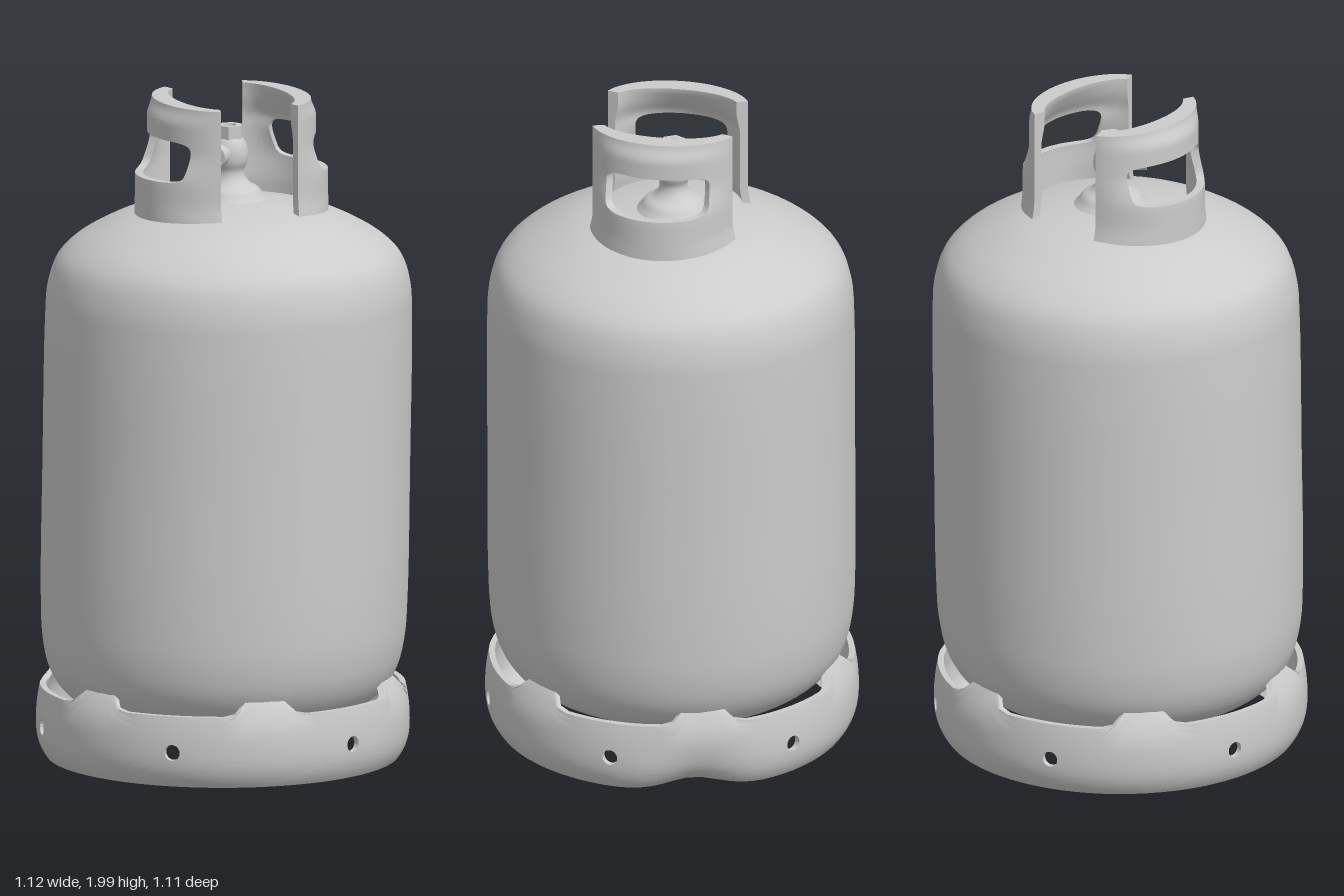
import * as THREE from 'three';
import { toCreasedNormals, mergeGeometries } from 'three/addons/utils/BufferGeometryUtils.js';

const material = new THREE.MeshStandardMaterial({ color: 0xcccccc });
const smooth = THREE.MathUtils.smoothstep;

function mesh(name, geometry) {
  const m = new THREE.Mesh(geometry, material);
  m.name = name;
  return m;
}

// Thick curved panel with one opening. hole(angle) gives the opening's edge in
// the -1..1 panel square; place(px, py, side) bends it (side 0 outer, 1 inner).
function holedPanel(hole, place, around = 64, steps = 10) {
  const pos = [], index = [], loop = 2 * (steps + 1);
  for (let u = 0; u < around; u++) {
    const a = (u / around) * Math.PI * 2, c = Math.cos(a), s = Math.sin(a);
    const k = 1 / Math.max(Math.abs(c), Math.abs(s));
    const [hx, hy] = hole(a);
    for (let j = 0; j < loop; j++) {
      const side = j > steps ? 1 : 0;
      const t = (side ? loop - 1 - j : j) / steps;
      pos.push(...place(hx + (c * k - hx) * t, hy + (s * k - hy) * t, side));
      const u2 = (u + 1) % around, j2 = (j + 1) % loop;
      const A = u * loop + j, B = u * loop + j2, C = u2 * loop + j2, D = u2 * loop + j;
      index.push(A, B, C, A, C, D);
    }
  }
  const g = new THREE.BufferGeometry();
  g.setAttribute('position', new THREE.Float32BufferAttribute(pos, 3));
  g.setIndex(index);
  return g;
}

// Smooth turned shape through a few profile points
function turned(points, segments = 72, samples = 80) {
  const curve = new THREE.CatmullRomCurve3(
    points.map(([r, y]) => new THREE.Vector3(r, y, 0)), false, 'centripetal');
  const profile = curve.getPoints(samples).map(p => new THREE.Vector2(Math.max(0, p.x), p.y));
  return new THREE.LatheGeometry(profile, segments);
}

function tank() {
  const g = turned([
    [0, 0.1], [0.2, 0.11], [0.38, 0.15], [0.47, 0.205], [0.515, 0.27], [0.538, 0.36],
    [0.546, 0.5], [0.547, 0.9], [0.546, 1.33], [0.54, 1.43], [0.515, 1.51], [0.47, 1.56],
    [0.4, 1.605], [0.3, 1.65], [0.2, 1.675], [0.1, 1.69], [0, 1.695]]);
  // slight lean of the worn shell
  const p = g.attributes.position;
  for (let i = 0; i < p.count; i++) p.setX(i, p.getX(i) + 0.017 * (p.getY(i) - 0.7));
  g.computeVertexNormals();
  return mesh('tank', g);
}

// Foot ring: six sections, each with a round hole and an open slot above it
function footRing() {
  const sections = [];
  for (let i = 0; i < 6; i++) {
    const middle = 21 + 60 * i;
    sections.push(holedPanel(
      a => [0.08 * Math.cos(a), 0.22 * Math.sin(a)],
      (px, py, side) => {
        const deg = middle + px * 30, th = THREE.MathUtils.degToRad(deg);
        const tab = smooth(Math.abs(px), 0.62, 0.82);
        const dent = Math.exp(-(((deg - 108) / 13) ** 2)) * (0.03 - 0.02 * py);
        const top = Math.max(0, (py - 0.3) / 0.7), low = Math.max(0, -py);
        const r = 0.556 - 0.012 * py * py - 0.02 * low ** 3
          - tab * 0.042 * top * top - dent - side * (0.018 + 0.02 * low ** 4);
        const y = 0.115 + 0.108 * py + tab * 0.05 * top + dent * 0.4 * low;
        return [r * Math.sin(th) - 0.008, y, r * Math.cos(th)];
      }));
  }
  return mesh('footRing', toCreasedNormals(mergeGeometries(sections), 0.8));
}

// Curved guard plate with a window and a thick rail leaning inward
function handle(name) {
  const end = 1.25;
  const g = holedPanel(
    a => {
      const c = Math.cos(a), s = Math.sin(a);
      const k = (c ** 6 + s ** 6) ** (-1 / 6);
      return [0.62 * c * k, 0.085 + 0.335 * s * k];
    },
    (px, py, side) => {
      const a = px * end;
      const lean = 0.045 * smooth(py, -0.3, 0.3) + 0.02 * smooth(py, 0.7, 1);
      const bow = (Math.cos(a) - Math.cos(end)) / (1 - Math.cos(end));
      const thick = 0.024 + 0.034 * smooth(py, 0.4, 0.8) * Math.cos(a);
      const flare = 1 + 0.05 * smooth(-py, 0.6, 1);
      const x = 0.125 + (0.17 - lean) * bow - side * thick * Math.cos(a);
      const z = 0.212 * flare * Math.sin(a) / Math.sin(end) - side * thick * Math.sin(a);
      return [x, 1.82 + 0.178 * py, -z];
    }, 96, 10);
  return mesh(name, toCreasedNormals(g, 0.8));
}

function valve() {
  const group = new THREE.Group();
  group.name = 'valve';
  group.position.set(0.02, 0, -0.01);
  group.add(mesh('valveBody', turned([
    [0.125, 1.675], [0.1, 1.7], [0.085, 1.72], [0.06, 1.735], [0.045, 1.755], [0.042, 1.775],
    [0.052, 1.8], [0.054, 1.83], [0.045, 1.86], [0.03, 1.875], [0, 1.877]], 28, 40)));
  // hexagonal top nut with a bore
  const hex = new THREE.Shape();
  for (let i = 0; i < 6; i++) {
    const a = i * Math.PI / 3;
    hex[i ? 'lineTo' : 'moveTo'](0.04 * Math.cos(a), 0.04 * Math.sin(a));
  }
  hex.holes.push(new THREE.Path().absarc(0, 0, 0.018, 0, Math.PI * 2, true));
  const nut = mesh('topNut', new THREE.ExtrudeGeometry(hex, { depth: 0.04, bevelEnabled: false }));
  nut.rotation.x = -Math.PI / 2;
  nut.position.y = 1.87;
  group.add(nut);
  // side outlet
  const outlet = new THREE.Group();
  outlet.name = 'outlet';
  [[0.024, 0.07, 0.045], [0.033, 0.035, 0.088]].forEach(([r, length, at], i) => {
    const part = mesh(i ? 'outletCollar' : 'outletPipe', new THREE.CylinderGeometry(r, r, length, 20));
    part.rotation.x = Math.PI / 2;
    part.position.z = at;
    outlet.add(part);
  });
  outlet.position.y = 1.83;
  outlet.rotation.y = -0.85;
  group.add(outlet);
  return group;
}

export function createModel() {
  const model = new THREE.Group();
  model.name = 'gasBottle';
  const handles = new THREE.Group();
  handles.name = 'handles';
  handles.position.x = 0.02;
  const left = handle('leftHandle'), right = handle('rightHandle');
  right.rotation.y = Math.PI;
  handles.add(left, right);
  model.add(tank(), footRing(), handles, valve());
  return model;
}
